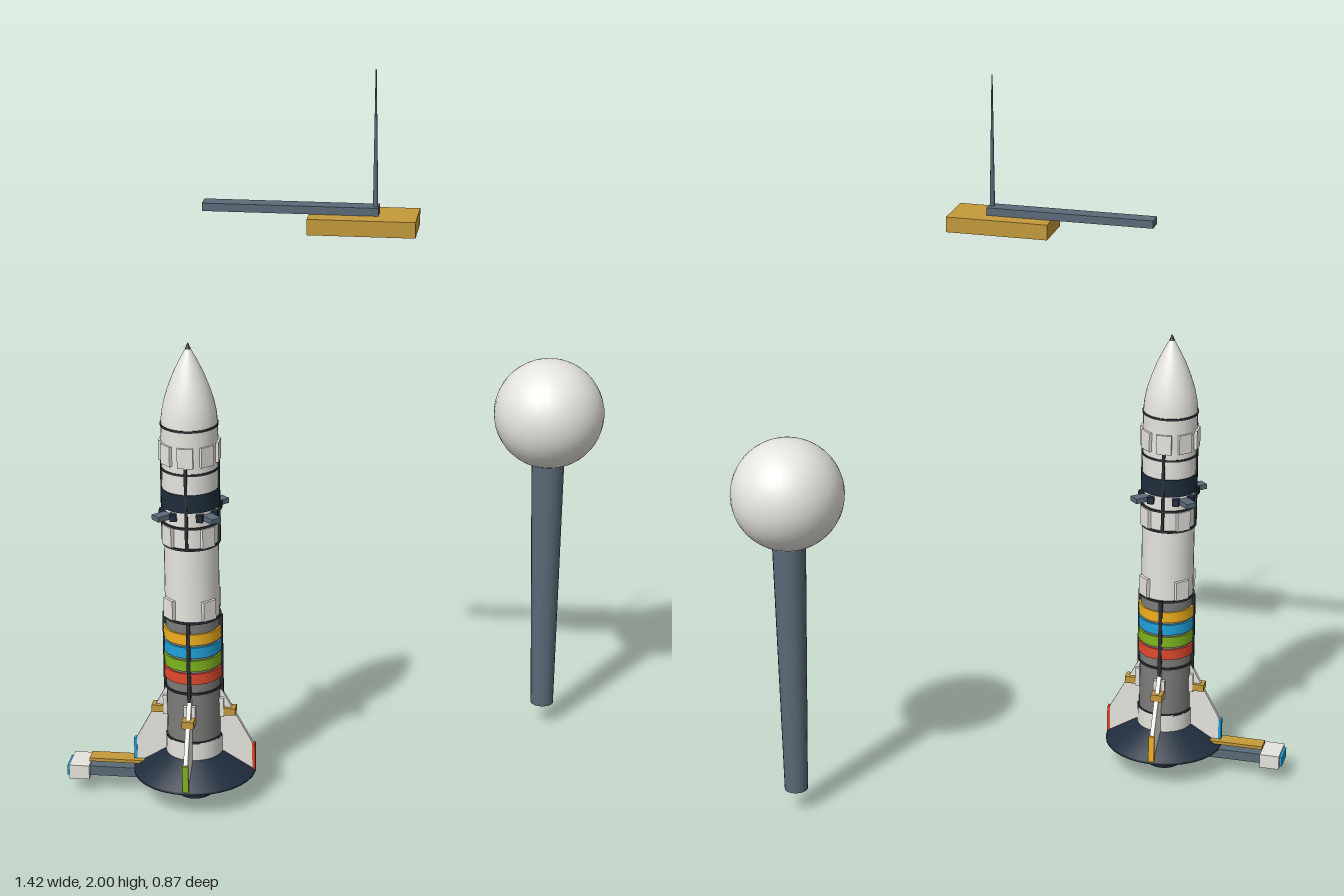
import * as THREE from 'three';

const C = { white: 0xe6e4de, grey: 0x7c7c7a, dark: 0x2b2f33, navy: 0x1f2d3d, slate: 0x5a6a78, gold: 0xc49a3a,
  red: 0xe2492f, green: 0x7fb51c, blue: 0x1fa3dc, yellow: 0xf2b01e };
const mats = {};
const mat = (c) => (mats[c] ??= new THREE.MeshStandardMaterial({ color: C[c], side: THREE.DoubleSide }));

function add(parent, name, geo, color, x = 0, y = 0, z = 0) {
  const m = new THREE.Mesh(geo, mat(color));
  m.name = name;
  m.position.set(x, y, z);
  parent.add(m);
  return m;
}

// Box given by its min and max corners
function span(parent, name, color, [x0, y0, z0], [x1, y1, z1]) {
  return add(parent, name, new THREE.BoxGeometry(x1 - x0, y1 - y0, z1 - z0), color,
    (x0 + x1) / 2, (y0 + y1) / 2, (z0 + z1) / 2);
}

// Upright round section from y0 to y1
function tube(parent, name, color, y0, y1, r0, r1 = r0, open = false) {
  return add(parent, name, new THREE.CylinderGeometry(r1, r0, y1 - y0, 32, 1, open), color, 0, (y0 + y1) / 2, 0);
}

const lathe = (pts) => new THREE.LatheGeometry(pts.map(([r, y]) => new THREE.Vector2(r, y)), 32);

// Four copies round the axis, each built facing +x
function around(parent, name, offset, build) {
  for (let i = 0; i < 4; i++) {
    const g = new THREE.Group();
    g.name = name;
    g.rotation.y = offset + i * Math.PI / 2;
    build(g, i);
    parent.add(g);
  }
}

function createRocket() {
  const rocket = new THREE.Group();
  rocket.name = 'rocket';
  const R = 0.075;

  // Stages
  tube(rocket, 'lowerCollar', 'white', 0.12, 0.18, R + 0.002);
  tube(rocket, 'lowerStage', 'grey', 0.18, 0.53, R - 0.002);
  tube(rocket, 'upperStage', 'white', 0.53, 0.845, R - 0.002);
  tube(rocket, 'darkBand', 'navy', 0.845, 0.895, R + 0.003);
  tube(rocket, 'payloadSection', 'white', 0.895, 1.07, R);
  [['red', 0.354], ['green', 0.392], ['blue', 0.43], ['yellow', 0.468]].forEach(([c, y]) =>
    tube(rocket, c + 'Stripe', c, y, y + 0.031, R + 0.003));
  [0.18, 0.325, 0.53, 0.74, 0.80, 0.95, 1.07].forEach((y) =>
    tube(rocket, 'seamRing', 'dark', y - 0.003, y + 0.003, R + 0.002));

  // Nose cone with a small dark tip
  const nose = [[R, 1.07], [0.073, 1.1], [0.066, 1.135], [0.055, 1.17], [0.041, 1.207], [0.024, 1.243], [0.007, 1.275]];
  add(rocket, 'noseCone', lathe(nose), 'white');
  tube(rocket, 'noseTip', 'dark', 1.273, 1.29, 0.008, 0.001);

  // Flared skirt and engine
  add(rocket, 'skirt', lathe([[0.155, 0.07], [0.166, 0.07], [0.166, 0.078], [0.08, 0.13], [0.076, 0.13]]), 'navy');
  add(rocket, 'engineBell', lathe([[0, 0.03], [0.035, 0.02], [0.04, 0], [0.046, 0], [0.044, 0.03], [0.05, 0.045],
    [0.054, 0.065], [0.05, 0.12]]), 'navy');
  [0.025, 0.045, 0.062].forEach((y) => {
    const ring = add(rocket, 'engineRing', new THREE.TorusGeometry(0.048, 0.005, 6, 32), 'dark', 0, y, 0);
    ring.rotation.x = Math.PI / 2;
  });

  // Fins with coloured tips and gold clamps
  const fin = new THREE.Shape([[0.06, 0.32], [0.077, 0.31], [0.16, 0.155], [0.16, 0.078], [0.06, 0.078]]
    .map(([x, y]) => new THREE.Vector2(x, y)));
  const finGeo = new THREE.ExtrudeGeometry(fin, { depth: 0.012, bevelEnabled: false });
  finGeo.translate(0, 0, -0.006);
  const tips = ['red', 'yellow', 'blue', 'green'];
  around(rocket, 'finAssembly', 0, (g, i) => {
    add(g, 'fin', finGeo, 'white');
    span(g, 'finTip', tips[i], [0.158, 0.078, -0.008], [0.166, 0.155, 0.008]);
    span(g, 'clamp', 'gold', [0.082, 0.24, -0.016], [0.114, 0.26, 0.016]);
    span(g, 'finBlock', 'white', [0.07, 0.235, -0.016], [0.083, 0.29, 0.016]);
  });

  // Raceways and access panels
  around(rocket, 'sideDetails', 0, (g) => {
    span(g, 'lowerRaceway', 'dark', [0.065, 0.13, -0.005], [0.081, 0.53, 0.005]);
    span(g, 'upperRaceway', 'dark', [0.065, 0.74, -0.004], [0.079, 0.97, 0.004]);
    span(g, 'accessPanel', 'white', [0.06, 0.97, -0.021], [0.08, 1.025, 0.021]);
    for (const s of [-1, 1]) span(g, 'nozzle', 'navy', [0.06, 0.82, s * 0.035 - 0.009], [0.078, 0.84, s * 0.035 + 0.009]);
  });

  // Thruster arms and panels on the diagonals
  around(rocket, 'diagonalDetails', Math.PI / 4, (g) => {
    span(g, 'thrusterArm', 'slate', [0.06, 0.822, -0.015], [0.115, 0.836, 0.015]);
    for (const y of [0.535, 0.743, 0.97]) span(g, 'panel', 'white', [0.06, y, -0.02], [0.08, y + 0.055, 0.02]);
  });
  return rocket;
}

export function createModel() {
  const model = new THREE.Group();
  model.name = 'launchSite';

  const rocket = createRocket();
  rocket.position.set(-0.362, 0, 0.265);
  model.add(rocket);

  // Service arm at the rocket's base
  const arm = new THREE.Group();
  arm.name = 'serviceArm';
  span(arm, 'armBeam', 'slate', [-0.65, 0.045, 0.238], [-0.39, 0.072, 0.29]);
  span(arm, 'armWalkway', 'gold', [-0.65, 0.085, 0.242], [-0.5, 0.094, 0.286]);
  span(arm, 'armHead', 'white', [-0.703, 0.04, 0.221], [-0.648, 0.08, 0.307]);
  span(arm, 'armPad', 'blue', [-0.71, 0.046, 0.232], [-0.702, 0.074, 0.296]);
  model.add(arm);

  // Overhead platform with boom and mast
  const platform = new THREE.Group();
  platform.name = 'overheadPlatform';
  span(platform, 'platformBlock', 'gold', [-0.055, 1.58, 0.097], [0.224, 1.622, 0.234]);
  span(platform, 'boom', 'slate', [-0.332, 1.622, 0.141], [0.124, 1.643, 0.186]);
  add(platform, 'mast', new THREE.CylinderGeometry(0.0015, 0.007, 0.36, 10), 'slate', 0.115, 1.82, 0.167);
  model.add(platform);

  // Spherical tank on a tapered column
  const tower = new THREE.Group();
  tower.name = 'tankTower';
  tower.position.set(0.555, 0, -0.284);
  add(tower, 'tank', new THREE.SphereGeometry(0.153, 32, 24), 'white', 0, 0.938, 0);
  add(tower, 'column', new THREE.CylinderGeometry(0.046, 0.032, 0.755, 20), 'slate', 0, 0.4375, 0);
  model.add(tower);

  return model;
}
